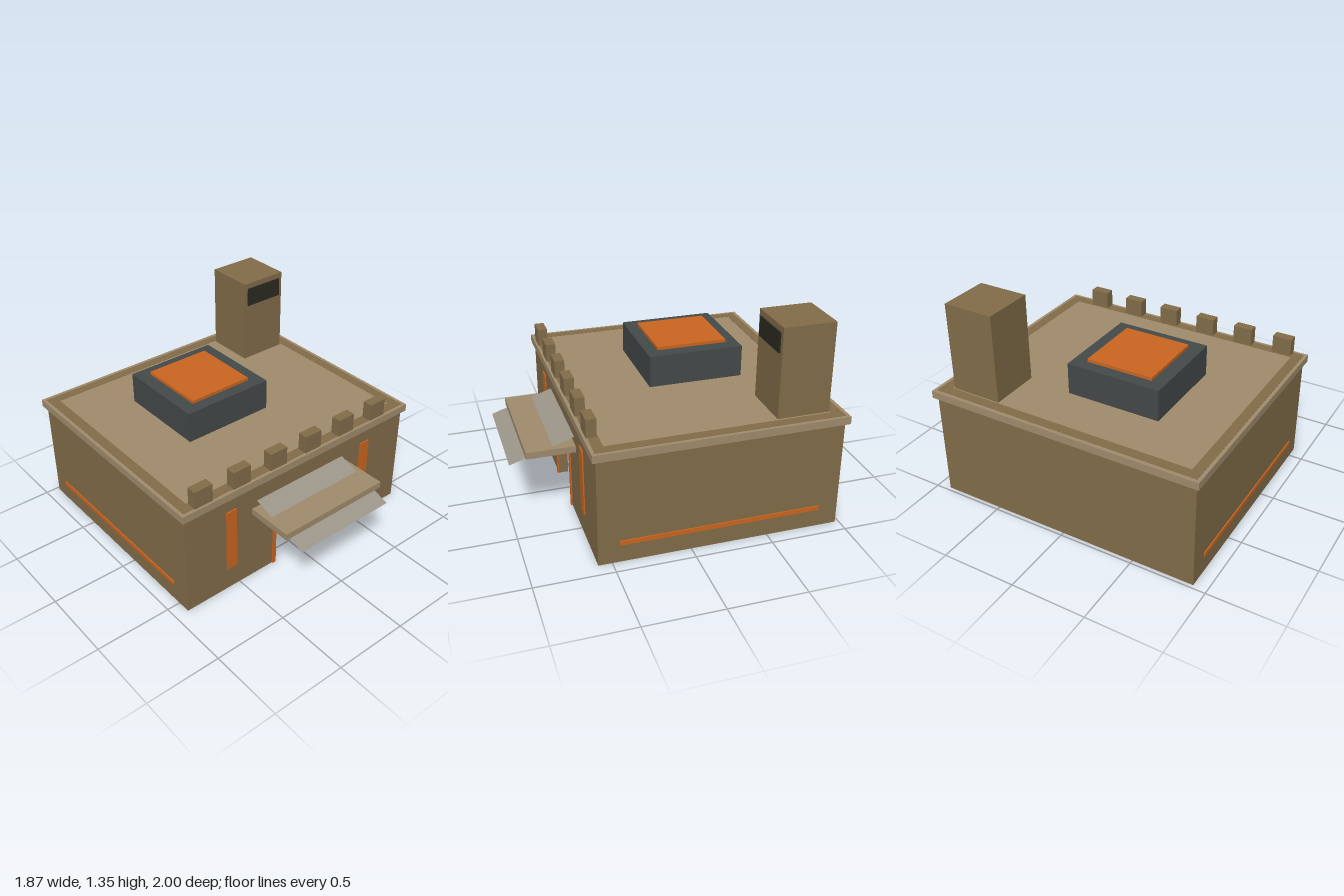
import * as THREE from 'three';

export function createModel() {
  const model = new THREE.Group();
  const paint = (name, color) => {
    const m = new THREE.MeshStandardMaterial({ color });
    m.name = name;
    return m;
  };
  const wall = paint('brown wall', 0x826c49);
  const tan = paint('tan trim', 0xa08c6c);
  const orange = paint('orange accent', 0xcb6520);
  const slate = paint('slate grey', 0x44494a);
  const glass = paint('dark window', 0x2b2a20);
  const cloth = paint('pale awning', 0x9c9588);
  cloth.side = THREE.DoubleSide;

  // Box given by its extents along each axis
  function box(name, mat, [x0, x1], [y0, y1], [z0, z1]) {
    const mesh = new THREE.Mesh(new THREE.BoxGeometry(x1 - x0, y1 - y0, z1 - z0), mat);
    mesh.position.set((x0 + x1) / 2, (y0 + y1) / 2, (z0 + z1) / 2);
    mesh.name = name;
    model.add(mesh);
    return mesh;
  }

  // Hollow walls; their tops show as a border in the roof
  const W = 0.91, T = 0.065, FRONT = 0.587, BACK = -0.975, TOP = 0.767;
  box('backWall', wall, [-W, W], [0, TOP], [BACK, BACK + T]);
  for (const s of [-1, 1]) {
    const x = s * (W - T / 2);
    box('sideWall', wall, [x - T / 2, x + T / 2], [0, TOP], [BACK + T, FRONT - T]);
  }

  // Front wall with the doorway cut out
  const face = new THREE.Shape();
  [[-W, 0], [-0.205, 0], [-0.205, 0.43], [0.205, 0.43], [0.205, 0], [W, 0], [W, TOP], [-W, TOP]]
    .forEach(([x, y], i) => (i ? face.lineTo(x, y) : face.moveTo(x, y)));
  const front = new THREE.Mesh(
    new THREE.ExtrudeGeometry(face, { depth: T, bevelEnabled: false }), wall);
  front.position.z = FRONT - T;
  front.name = 'frontWall';
  model.add(front);

  // Roof slab
  box('roof', tan, [-0.933, 0.933], [0.715, 0.765], [-1, 0.61]);

  // Battlements along the front edge
  for (let i = 0; i < 6; i++) {
    const x = -0.77 + i * 0.286;
    box('battlement', wall, [x - 0.065, x + 0.065], [0.765, 0.885], [0.53, 0.595]);
  }

  // Roof unit with its orange lid
  box('roofUnit', slate, [-0.455, 0.18], [0.765, 0.975], [-0.59, 0.04]);
  box('roofUnitLid', orange, [-0.365, 0.087], [0.975, 0.996], [-0.51, -0.04]);

  // Corner tower and its window
  box('tower', wall, [0.49, 0.83], [0.765, 1.352], [-0.9, -0.56]);
  box('towerWindow', glass, [0.517, 0.802], [1.185, 1.313], [-0.56, -0.55]);

  // Door frame, front panels and side stripes
  box('doorLintel', orange, [-0.228, 0.228], [0.432, 0.453], [FRONT, 0.596]);
  for (const s of [-1, 1]) {
    const strip = (name, a, b, y, z) =>
      box(name, orange, [Math.min(s * a, s * b), Math.max(s * a, s * b)], y, z);
    strip('doorJamb', 0.203, 0.228, [0, 0.432], [FRONT, 0.596]);
    strip('frontPanel', 0.526, 0.603, [0.165, 0.612], [FRONT, 0.596]);
    strip('sideStripe', W, 0.918, [0.12, 0.15], [-0.845, 0.455]);
  }

  // Canopy with a sloping awning sheet passing through it
  box('canopy', tan, [-0.4, 0.4], [0.496, 0.54], [FRONT, 0.9]);
  const rise = 0.135, run = 0.415;
  const awning = new THREE.Mesh(new THREE.PlaneGeometry(0.724, Math.hypot(rise, run)), cloth);
  awning.rotation.x = -Math.PI / 2 + Math.atan2(rise, run);
  awning.position.set(0, 0.518, 1 - run / 2);
  awning.name = 'awning';
  model.add(awning);

  return model;
}
